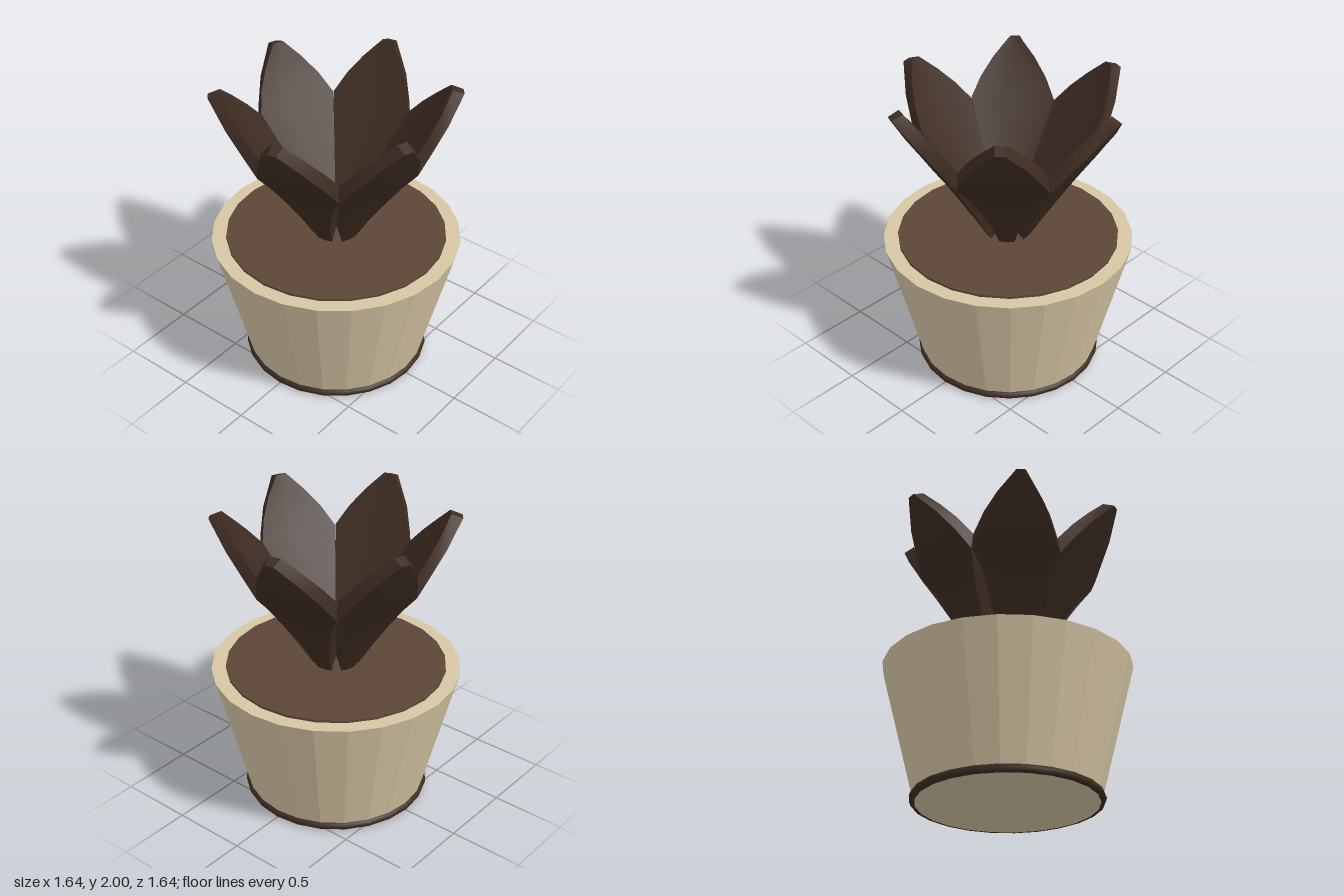
import * as THREE from 'three';
import { toCreasedNormals } from 'three/addons/utils/BufferGeometryUtils.js';

const clay = new THREE.MeshStandardMaterial({ name: 'cream clay', color: 0xd6c6a4 });
const earth = new THREE.MeshStandardMaterial({ name: 'brown soil', color: 0x5d4637 });
const dark = new THREE.MeshStandardMaterial({ name: 'dark brown', color: 0x3e2c22 });

// Leaf stations from base to tip: inner [reach, height, half width], outer [same]
const STATIONS = [
  [[0.05, 1.01, 0.03], [0.15, 0.95, 0.05]],
  [[0.16, 1.18, 0.092], [0.24, 1.11, 0.085]],
  [[0.28, 1.365, 0.162], [0.34, 1.285, 0.145]],
  [[0.4, 1.55, 0.231], [0.43, 1.44, 0.215]],
  [[0.475, 1.665, 0.272], [0.495, 1.545, 0.283]],
  [[0.56, 1.78, 0.215], [0.58, 1.67, 0.232]],
  [[0.64, 1.89, 0.135], [0.68, 1.81, 0.155]],
  [[0.71, 1.998, 0.035], [0.785, 1.97, 0.03]],
];

// Six-sided section: creased inner face, edge walls, keeled back
function leafGeometry() {
  const rings = STATIONS.map(([[a, y, w], [b, v, u]]) => {
    const crease = w * 0.08, keel = u * 0.06;
    return [
      [a + crease, y - crease, 0], [a, y, w], [b, v, u],
      [b + keel, v - keel, 0], [b, v, -u], [a, y, -w],
    ];
  });
  const pos = [];
  const tri = (...points) => points.forEach((p) => pos.push(...p));
  for (let i = 0; i < rings.length - 1; i++) {
    for (let j = 0; j < 6; j++) {
      const k = (j + 1) % 6;
      tri(rings[i][j], rings[i][k], rings[i + 1][j]);
      tri(rings[i][k], rings[i + 1][k], rings[i + 1][j]);
    }
  }
  // End caps
  const base = rings[0], tip = rings[rings.length - 1];
  for (let j = 1; j < 5; j++) {
    tri(base[0], base[j + 1], base[j]);
    tri(tip[0], tip[j], tip[j + 1]);
  }
  const geo = new THREE.BufferGeometry();
  geo.setAttribute('position', new THREE.Float32BufferAttribute(pos, 3));
  return toCreasedNormals(geo, 0.4);
}

export function createModel() {
  const model = new THREE.Group();
  model.name = 'pottedSucculent';
  const add = (name, geo, material, y = 0) => {
    const mesh = new THREE.Mesh(geo, material);
    mesh.name = name;
    mesh.position.y = y;
    model.add(mesh);
    return mesh;
  };

  // Faceted tapering pot
  add('pot', toCreasedNormals(new THREE.CylinderGeometry(0.82, 0.588, 0.915, 24), 0.1), clay, 0.4625);

  // Rounded ring around the foot
  const ring = new THREE.TorusGeometry(0.592, 0.028, 8, 24).rotateX(Math.PI / 2);
  add('footRing', ring, dark, 0.03);

  // Soil disc, just proud of the rim
  add('soil', new THREE.CylinderGeometry(0.725, 0.725, 0.035, 24), earth, 0.9175);

  // Six leaves around the centre
  const leaf = leafGeometry();
  for (let i = 0; i < 6; i++) {
    add('leaf' + (i + 1), leaf, dark).rotation.y = THREE.MathUtils.degToRad(10.5 - 60 * i);
  }
  return model;
}
